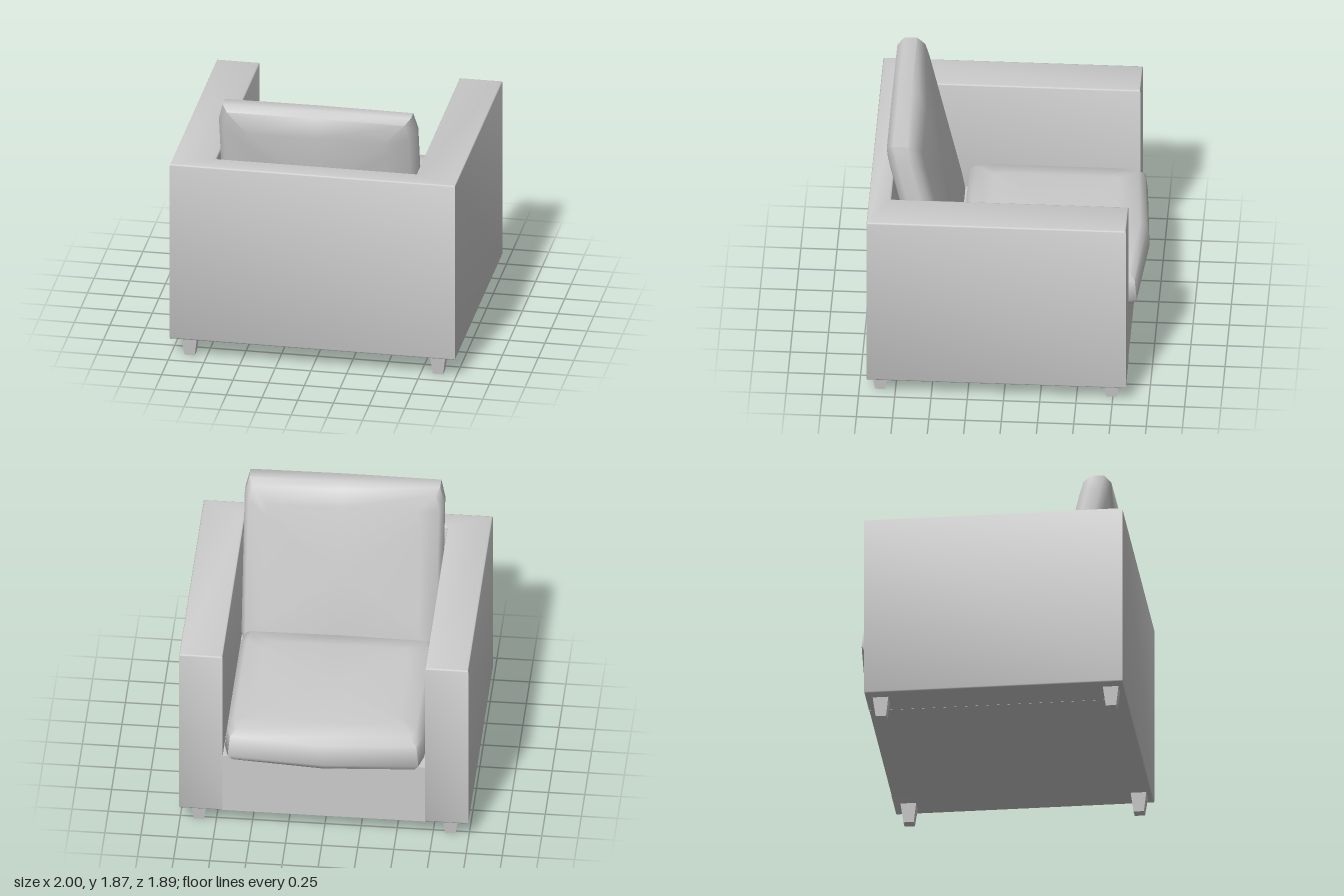
import * as THREE from 'three';
import { toCreasedNormals } from 'three/addons/utils/BufferGeometryUtils.js';

const material = new THREE.MeshStandardMaterial({ color: 0xcccccc });

// Pillow standing in the XY plane: one outline lofted through [inset, z] levels, capped at both ends
function cushionGeometry(hw, hh, bow, levels) {
  const c = 0.03, s = 0.12;
  const right = [[hw - c, -hh], [hw, -hh + s], [hw, hh - s], [hw - c, hh]];
  const left = right.map(([x, y]) => [-x, y]).reverse();
  const outline = [...right, [0, hh + bow], ...left, [0, -hh - 0.01]];
  const n = outline.length;
  const pos = [], idx = [];
  for (const [inset, z] of levels)
    for (const [x, y] of outline) pos.push(x * (1 - inset / hw), y * (1 - inset / hh), z);
  const first = levels.length * n, last = first + 1;
  pos.push(0, 0, levels[0][1], 0, 0, levels[levels.length - 1][1]);
  for (let i = 0; i < n; i++) {
    const j = (i + 1) % n;
    for (let k = 0; k < levels.length - 1; k++) {
      const a = k * n + i, b = k * n + j;
      idx.push(a, b, b + n, a, b + n, a + n);
    }
    const top = (levels.length - 1) * n;
    idx.push(first, j, i, last, top + i, top + j);
  }
  const g = new THREE.BufferGeometry();
  g.setAttribute('position', new THREE.Float32BufferAttribute(pos, 3));
  g.setIndex(idx);
  return g;
}

export function createModel() {
  const group = new THREE.Group();
  const add = (name, geometry) => {
    const mesh = new THREE.Mesh(geometry, material);
    mesh.name = name;
    group.add(mesh);
    return mesh;
  };

  // Arms and backrest as one U-shaped shell; the seat opens towards -z
  const plan = new THREE.Shape([
    [-1, -0.845], [-0.7, -0.845], [-0.7, 0.79], [0.7, 0.79],
    [0.7, -0.845], [1, -0.845], [1, 0.945], [-1, 0.945],
  ].map(([x, z]) => new THREE.Vector2(x, z)));
  const bevel = 0.012;
  const shell = new THREE.ExtrudeGeometry(plan, {
    depth: 1.32 - 2 * bevel, bevelSize: bevel, bevelThickness: bevel,
    bevelOffset: -bevel, bevelSegments: 2,
  });
  shell.rotateX(Math.PI / 2).translate(0, 1.455 - bevel, 0);
  add('armsAndBack', toCreasedNormals(shell, 0.8));

  // Seat base between the arms
  add('seatBase', new THREE.BoxGeometry(1.42, 0.465, 1.65)).position.set(0, 0.3675, -0.015);

  // Seat cushion with a bowed leading edge
  const seat = cushionGeometry(0.69, 0.62, 0.05,
    [[0.03, 0.6], [0, 0.65], [0.015, 0.8], [0.06, 0.845], [0.19, 0.865]]);
  seat.rotateX(-Math.PI / 2).translate(0, 0, -0.28);
  add('seatCushion', toCreasedNormals(seat, 1));

  // Back cushion, sheared to lean on the backrest
  const back = cushionGeometry(0.69, 0.63, 0.005,
    [[0.15, 0], [0.03, 0.02], [0, 0.07], [0, 0.16], [0.04, 0.215], [0.19, 0.253]]);
  back.applyMatrix4(new THREE.Matrix4().set(
    1, 0, 0, 0,
    0, 1, 0, 1.235,
    0, 0.23, 1, 0.476,
    0, 0, 0, 1));
  add('backCushion', toCreasedNormals(back, 1));

  // Four square tapered legs
  const leg = new THREE.CylinderGeometry(0.055 * Math.SQRT2, 0.036 * Math.SQRT2, 0.14, 4, 1)
    .rotateY(Math.PI / 4).toNonIndexed();
  leg.computeVertexNormals();
  for (const x of [-0.87, 0.87])
    for (const z of [-0.74, 0.855]) add('leg', leg).position.set(x, 0.07, z);

  return group;
}
